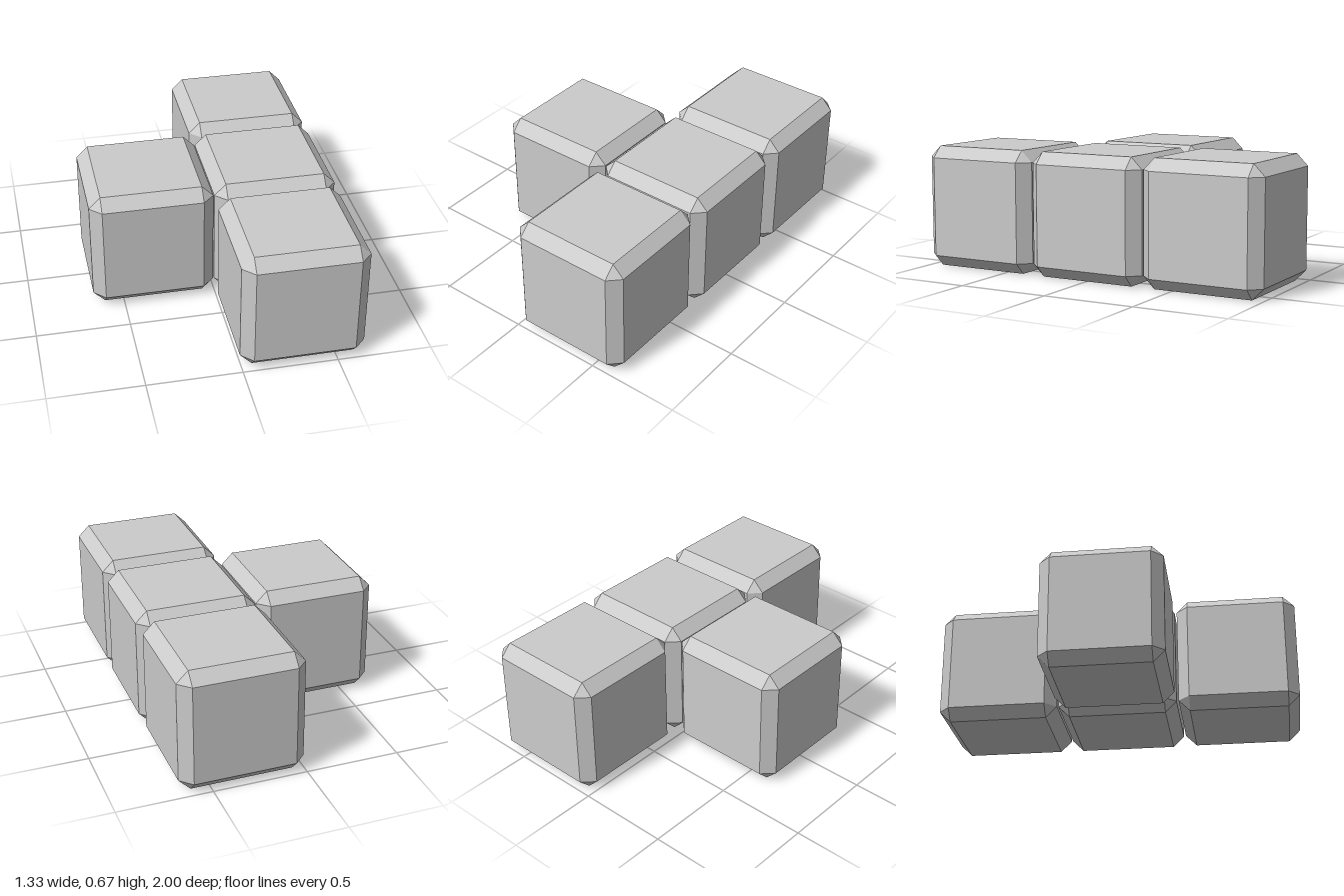
import * as THREE from 'three';
import { ConvexGeometry } from 'three/addons/geometries/ConvexGeometry.js';

const CHAMFER = 0.062;

// Cube with flat chamfered edges and triangular corners, standing on y = 0
function chamferedBlock(width, height, depth) {
  const half = [width / 2, height / 2, depth / 2];
  const points = [];
  for (const sx of [-1, 1]) for (const sy of [-1, 1]) for (const sz of [-1, 1]) {
    // Each corner is cut into three points, one on each adjoining face
    for (let axis = 0; axis < 3; axis++) {
      const [x, y, z] = half.map((h, i) => (i === axis ? h : h - CHAMFER));
      points.push(new THREE.Vector3(sx * x, sy * y, sz * z));
    }
  }
  return new ConvexGeometry(points).translate(0, height / 2, 0);
}

export function createModel() {
  const model = new THREE.Group();
  model.name = 'tBlockPiece';
  const material = new THREE.MeshStandardMaterial({ color: 0xcccccc, flatShading: true });

  // Row of three blocks along z, with one block beside the middle
  const blocks = [
    { name: 'backBlock', size: [0.665, 0.667, 0.663], x: 0.328, z: -0.668 },
    { name: 'middleBlock', size: [0.658, 0.664, 0.656], x: 0.332, z: 0 },
    { name: 'frontBlock', size: [0.658, 0.663, 0.66], x: 0.325, z: 0.67 },
    { name: 'sideBlock', size: [0.662, 0.665, 0.655], x: -0.333, z: 0 },
  ];
  for (const { name, size, x, z } of blocks) {
    const block = new THREE.Mesh(chamferedBlock(...size), material);
    block.name = name;
    block.position.set(x, 0, z);
    model.add(block);
  }
  return model;
}
